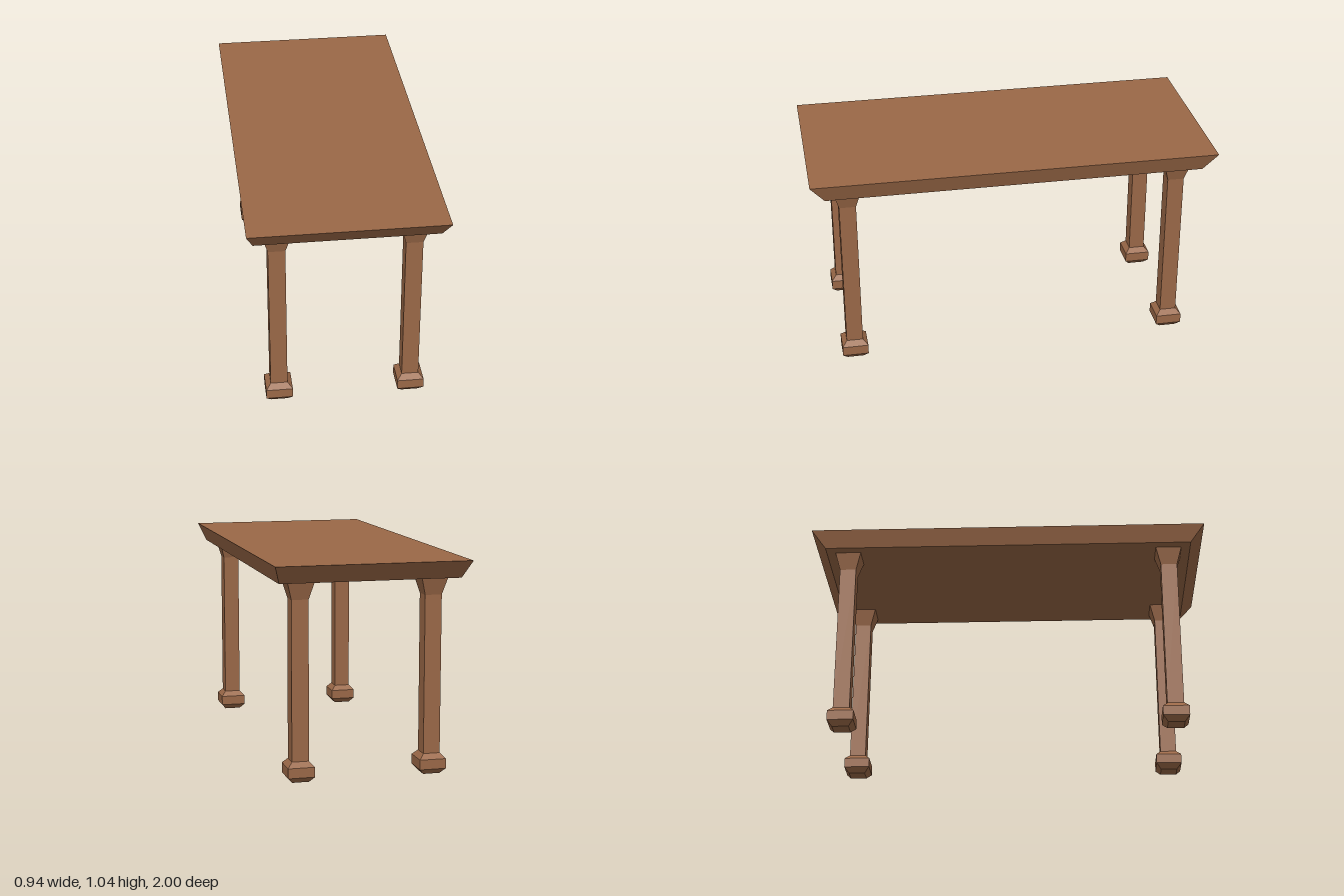
import * as THREE from 'three';

const wood = new THREE.MeshStandardMaterial({ color: 0x9a6847 });
wood.name = 'brown wood';

// Four-sided block tapering from a bottom half-size to a top half-size
function taper(name, y0, y1, [bx, bz], [tx, tz]) {
  const geo = new THREE.BoxGeometry(2, 1, 2);
  const p = geo.attributes.position;
  for (let i = 0; i < p.count; i++) {
    const up = p.getY(i) > 0;
    p.setXYZ(i, p.getX(i) * (up ? tx : bx), up ? y1 : y0, p.getZ(i) * (up ? tz : bz));
  }
  geo.computeVertexNormals();
  const mesh = new THREE.Mesh(geo, wood);
  mesh.name = name;
  return mesh;
}

function createLeg(name) {
  const leg = new THREE.Group();
  leg.name = name;
  const thin = [0.041, 0.041], wide = [0.065, 0.065];
  leg.add(
    taper('footBase', 0, 0.027, thin, wide),
    taper('footBlock', 0.027, 0.075, wide, wide),
    taper('footShoulder', 0.075, 0.1, wide, thin),
    taper('legShaft', 0.1, 0.867, thin, thin),
    taper('legCapital', 0.867, 0.953, thin, wide)
  );
  return leg;
}

export function createModel() {
  const table = new THREE.Group();
  table.name = 'table';

  // Slab with bevelled edges
  table.add(taper('tableTop', 0.953, 1.041, [0.437, 0.93], [0.47, 1]));

  // Legs at the four corners
  for (const x of [-1, 1]) {
    for (const z of [-1, 1]) {
      const leg = createLeg((z > 0 ? 'front' : 'back') + (x > 0 ? 'Left' : 'Right') + 'Leg');
      leg.position.set(x * 0.323, 0, z * 0.82);
      table.add(leg);
    }
  }
  return table;
}
